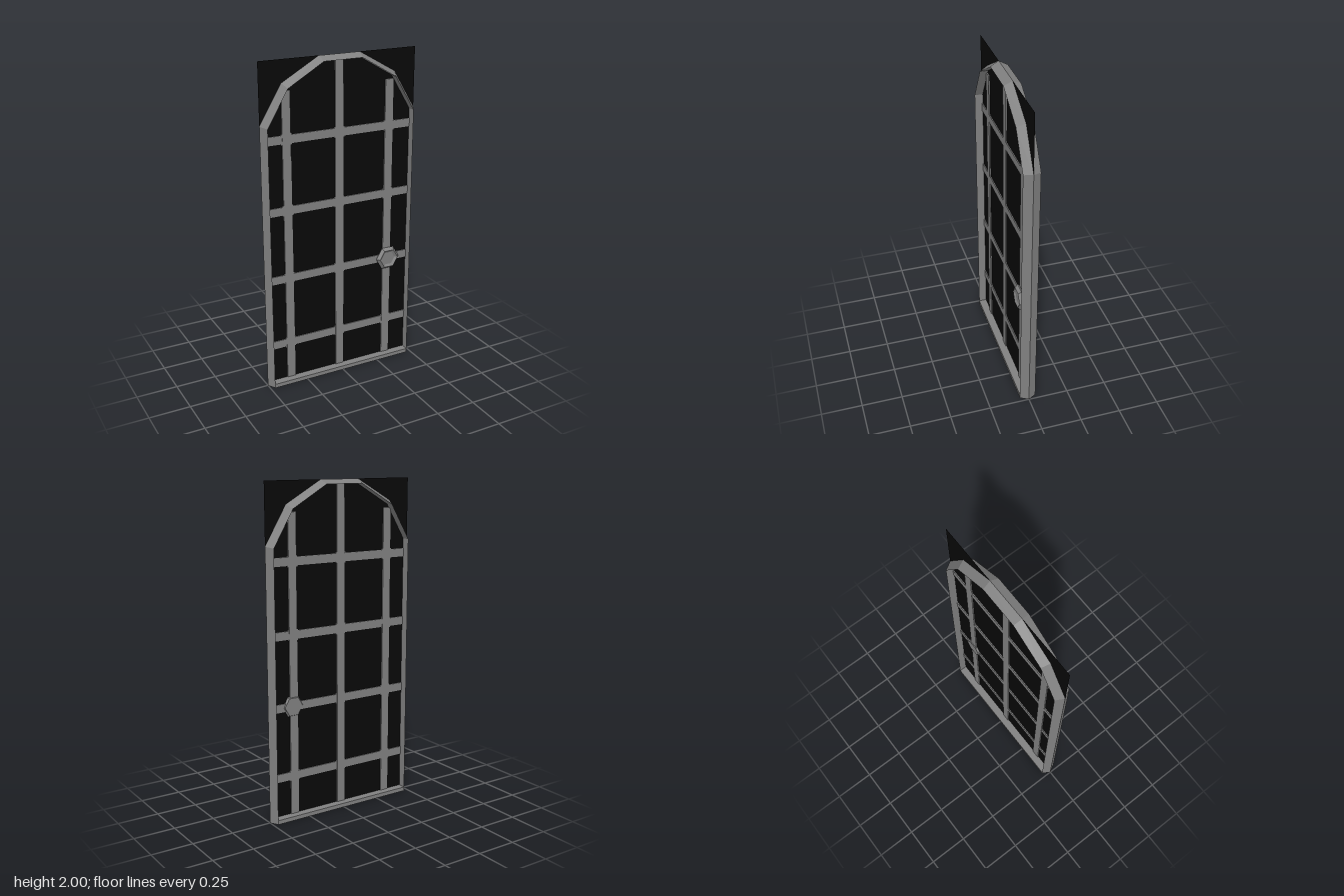
import * as THREE from 'three';

const iron = new THREE.MeshStandardMaterial({ color: 0x808080 });
const dark = new THREE.MeshStandardMaterial({ color: 0x080808, side: THREE.DoubleSide });

// Faceted copy of a geometry, with one normal per face
function faceted(geometry) {
  const flat = geometry.index ? geometry.toNonIndexed() : geometry;
  flat.computeVertexNormals();
  return flat;
}

function addPart(parent, name, geometry, material, x = 0, y = 0, z = 0) {
  const mesh = new THREE.Mesh(geometry, material);
  mesh.name = name;
  mesh.position.set(x, y, z);
  parent.add(mesh);
  return mesh;
}

// Arched rim: a triangular section swept along the outline, sharp edge outwards
function archGeometry(outer, inner, halfDepth) {
  const positions = [];
  const quad = (a, b, c, d) => positions.push(...a, ...b, ...c, ...a, ...c, ...d);
  const edge = outer.map(([x, y]) => [x, y, 0]);
  const front = inner.map(([x, y]) => [x, y, halfDepth]);
  const back = inner.map(([x, y]) => [x, y, -halfDepth]);
  for (let i = 0; i < edge.length - 1; i++) {
    quad(edge[i], edge[i + 1], front[i + 1], front[i]);
    quad(edge[i], back[i], back[i + 1], edge[i + 1]);
    quad(front[i], front[i + 1], back[i + 1], back[i]);
  }
  const geometry = new THREE.BufferGeometry();
  geometry.setAttribute('position', new THREE.Float32BufferAttribute(positions, 3));
  return faceted(geometry);
}

const mirrored = (half) => [...half, ...half.map(([x, y]) => [-x, y]).reverse()];

export function createModel() {
  const door = new THREE.Group();
  door.name = 'door';

  // Thin backing panel
  addPart(door, 'panel', new THREE.PlaneGeometry(1, 2), dark, 0, 1, 0);

  // Frame: arch and sides
  const frame = new THREE.Group();
  frame.name = 'frame';
  door.add(frame);
  const outer = mirrored([[0.5, 0], [0.5, 1.64], [0.363, 1.868], [0.13, 2]]);
  const inner = mirrored([[0.472, 0], [0.472, 1.632], [0.345, 1.845], [0.123, 1.974]]);
  addPart(frame, 'arch', archGeometry(outer, inner, 0.05), iron);

  // Frame: flat sill with pointed ends
  const sill = new THREE.Shape(
    [[-0.5, 0], [-0.472, -0.05], [0.472, -0.05], [0.5, 0], [0.472, 0.05], [-0.472, 0.05]]
      .map(([x, y]) => new THREE.Vector2(x, y)));
  const sillGeometry = new THREE.ExtrudeGeometry(sill, { depth: 0.025, bevelEnabled: false });
  sillGeometry.rotateX(-Math.PI / 2);
  addPart(frame, 'sill', sillGeometry, iron);

  // Lattice of flat bars, with slightly wider joints where they cross
  const lattice = new THREE.Group();
  lattice.name = 'lattice';
  door.add(lattice);
  const rows = [0.266, 0.694, 1.122, 1.548];
  const columns = [[-0.34, 1.825], [-0.004, 1.98], [0.328, 1.825]];
  for (const y of rows) {
    addPart(lattice, 'crossBar', new THREE.BoxGeometry(0.95, 0.05, 0.012), iron, 0, y);
  }
  for (const [x, top] of columns) {
    addPart(lattice, 'uprightBar', new THREE.BoxGeometry(0.053, top, 0.014), iron, x, top / 2);
    for (const y of rows) {
      addPart(lattice, 'joint', new THREE.BoxGeometry(0.066, 0.064, 0.01), iron, x, y);
    }
  }

  // Six-sided knob with a raised rim and a flat back
  const profile = [[0, -0.012], [0.06, -0.012], [0.08, 0.015], [0.062, 0.035], [0.045, 0.025], [0, 0.025]]
    .map(([r, z]) => new THREE.Vector2(r, z));
  const knob = new THREE.LatheGeometry(profile, 6, Math.PI / 6);
  knob.rotateX(Math.PI / 2);
  addPart(door, 'knob', faceted(knob), iron, 0.332, 0.694, 0);

  return door;
}
